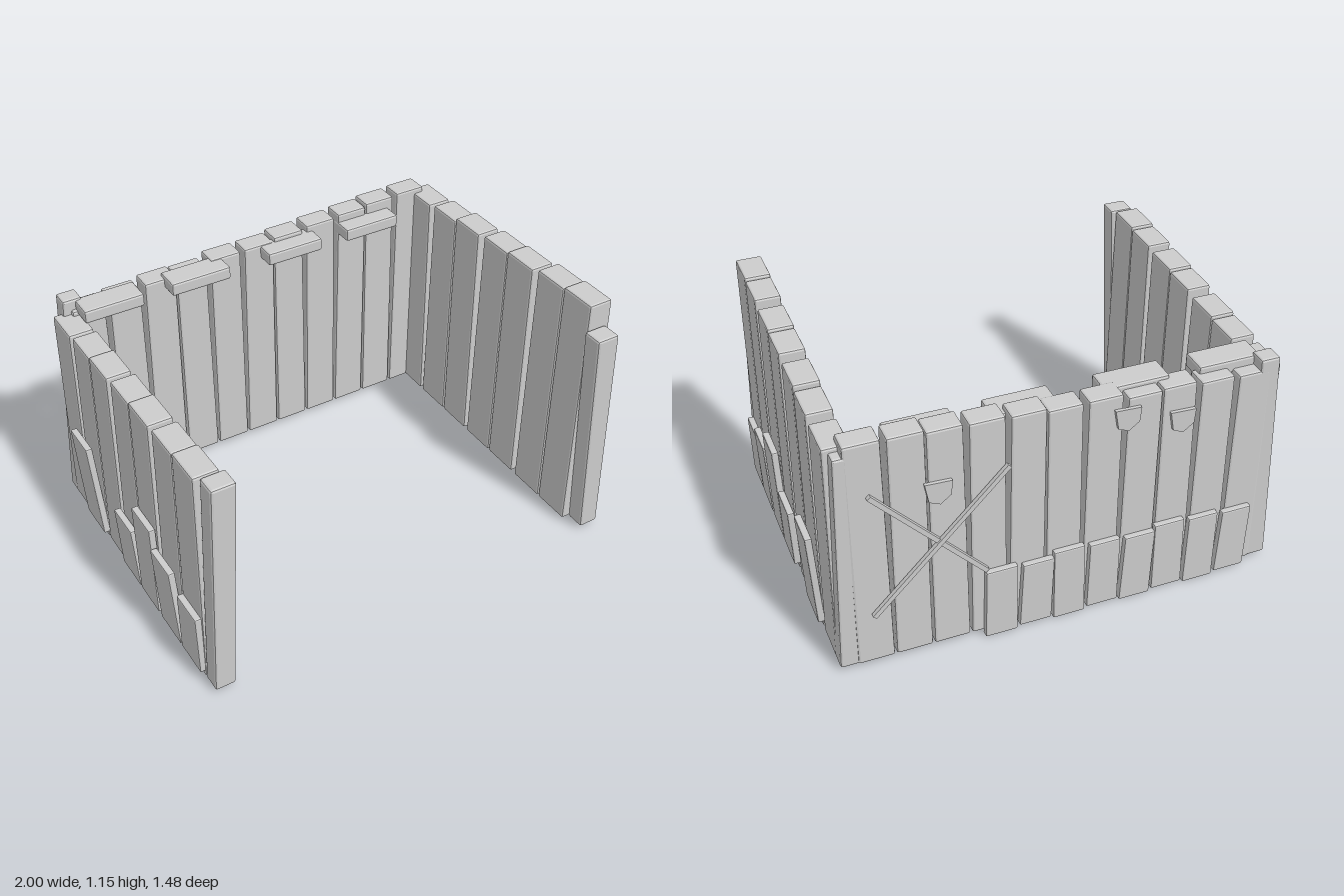
import * as THREE from 'three';
import { RoundedBoxGeometry } from 'three/addons/geometries/RoundedBoxGeometry.js';

const wood = new THREE.MeshStandardMaterial({ color: 0xcccccc });
wood.name = 'grey wood';

// Chamfered board whose x and z ranges [min, max] go from a bottom to a top section
function board(name, y0, y1, xBottom, zBottom, xTop = xBottom, zTop = zBottom) {
  const w = xBottom[1] - xBottom[0], d = zBottom[1] - zBottom[0], h = y1 - y0;
  const geo = new RoundedBoxGeometry(w, h, d, 1, Math.min(0.01, w * 0.2, d * 0.2));
  const p = geo.attributes.position;
  const at = (range, u) => range[0] + (range[1] - range[0]) * u;
  for (let i = 0; i < p.count; i++) {
    const u = p.getX(i) / w + 0.5, t = p.getY(i) / h + 0.5, v = p.getZ(i) / d + 0.5;
    p.setXYZ(i,
      at(xBottom, u) * (1 - t) + at(xTop, u) * t,
      y0 + t * h,
      at(zBottom, v) * (1 - t) + at(zTop, v) * t);
  }
  geo.computeVertexNormals();
  const mesh = new THREE.Mesh(geo, wood);
  mesh.name = name;
  return mesh;
}

const mirrorRange = (r, side) => (side > 0 ? r : [-r[1], -r[0]]);

function sideWall(side) {
  const wall = new THREE.Group();
  wall.name = side > 0 ? 'leftWall' : 'rightWall';
  const x = (a, b) => mirrorRange([a, b], side);

  // Upright planks: bottom z range, top z range, height on each side
  const planks = [
    [[0.48, 0.655], [0.475, 0.645], 1.15, 1.04],
    [[0.3, 0.475], [0.305, 0.472], 1.14, 1.03],
    [[0.1, 0.275], [0.098, 0.27], 1.12, 1.02],
    [[-0.08, 0.095], [-0.07, 0.096], 1.11, 1.01],
    [[-0.275, -0.1], [-0.28, -0.11], 1.095, 0.995],
    [[-0.46, -0.282], [-0.45, -0.284], 1.075, 0.985],
    [[-0.65, -0.475], [-0.66, -0.485], 1.06, 0.97],
  ];
  for (const [zb, zt, hPlus, hMinus] of planks) {
    wall.add(board('wallPlank', 0.02, side > 0 ? hPlus : hMinus,
      x(0.83, 0.955), zb, x(0.835, 0.945), zt));
  }

  // Short boards leaning on the outside
  const battens = [
    [[0.48, 0.65], [0.485, 0.645], 0.34, 0.98],
    [[0.295, 0.475], [0.28, 0.445], 0.42, 0.99],
    [[0.1, 0.27], [0.11, 0.275], 0.51, 0.985],
    [[-0.08, 0.095], [-0.095, 0.07], 0.34, 0.985],
    [[-0.46, -0.28], [-0.475, -0.31], 0.51, 1.0],
  ];
  for (const [zb, zt, h, outer] of battens) {
    wall.add(board('leaningBoard', 0.05, h, x(0.945, 0.975), zb, x(outer - 0.03, outer), zt));
  }

  // Corner posts lean inward
  wall.add(board('frontPost', 0.02, 1.04, x(0.865, 0.955), [0.655, 0.74], x(0.815, 0.92), [0.65, 0.74]));
  wall.add(board('backPost', 0.02, 1.04, x(0.86, 0.955), [-0.71, -0.64],
    side > 0 ? [0.85, 0.92] : [-0.905, -0.82], [-0.71, -0.63]));
  return wall;
}

function backWall() {
  const wall = new THREE.Group();
  wall.name = 'backWall';

  // Upright planks rising towards +x
  const heights = [0.99, 1.0, 1.015, 1.01, 1.035, 1.035, 1.05, 1.06, 1.068, 1.08, 1.085];
  heights.forEach((h, i) => {
    const x0 = -0.875 + i * 0.1605, s = 0.006 * (i % 3 - 1) + 0.004;
    wall.add(board('backPlank', 0.02, h,
      [x0, x0 + 0.153], [-0.715, -0.61], [x0 + 0.004 + s, x0 + 0.149 + s], [-0.71, -0.61]));
  });

  // Row of short boards along the foot
  for (let i = 0; i < 8; i++) {
    const x0 = -0.83 + i * 0.149, s = 0.008 * (i % 3 - 1);
    wall.add(board('footBoard', i % 2 ? 0 : 0.012, 0.33 + 0.012 * (i % 3),
      [x0, x0 + 0.14], [-0.74, -0.705], [x0 + s, x0 + 0.135 + s], [-0.74, -0.71]));
  }

  // Ledge blocks near the top on the inside
  for (const [a, b] of [[-0.85, -0.58], [-0.45, -0.17], [0.02, 0.29], [0.42, 0.69]]) {
    wall.add(board('ledgeBlock', 0.97, 1.03, [a, b], [-0.65, -0.53]));
  }

  // Crossed sticks on the outside
  for (const [x0, y0, x1, y1, z] of [[0.34, 0.35, 0.8, 0.85, -0.722], [0.81, 0.27, 0.25, 0.85, -0.73]]) {
    const stick = new THREE.Mesh(
      new THREE.BoxGeometry(0.02, Math.hypot(x1 - x0, y1 - y0), 0.018), wood);
    stick.name = 'crossedStick';
    stick.position.set((x0 + x1) / 2, (y0 + y1) / 2, z);
    stick.rotation.z = Math.atan2(x0 - x1, y1 - y0);
    wall.add(stick);
  }

  // Small chipped patches on the outside
  const outline = [[0.055, 0.045], [-0.055, 0.04], [-0.05, -0.025], [-0.005, -0.06], [0.04, -0.04]];
  const patchShape = new THREE.Shape(outline.map(([x, y]) => new THREE.Vector2(x, y)));
  const patchGeo = new THREE.ExtrudeGeometry(patchShape, { depth: 0.015, bevelEnabled: false });
  for (const [x, y] of [[0.53, 0.8], [-0.24, 0.93], [-0.48, 0.86]]) {
    const patch = new THREE.Mesh(patchGeo, wood);
    patch.name = 'chippedPatch';
    patch.position.set(x, y, -0.727);
    wall.add(patch);
  }
  return wall;
}

export function createModel() {
  const model = new THREE.Group();
  model.name = 'plankEnclosure';
  model.add(sideWall(1), sideWall(-1), backWall());
  return model;
}
